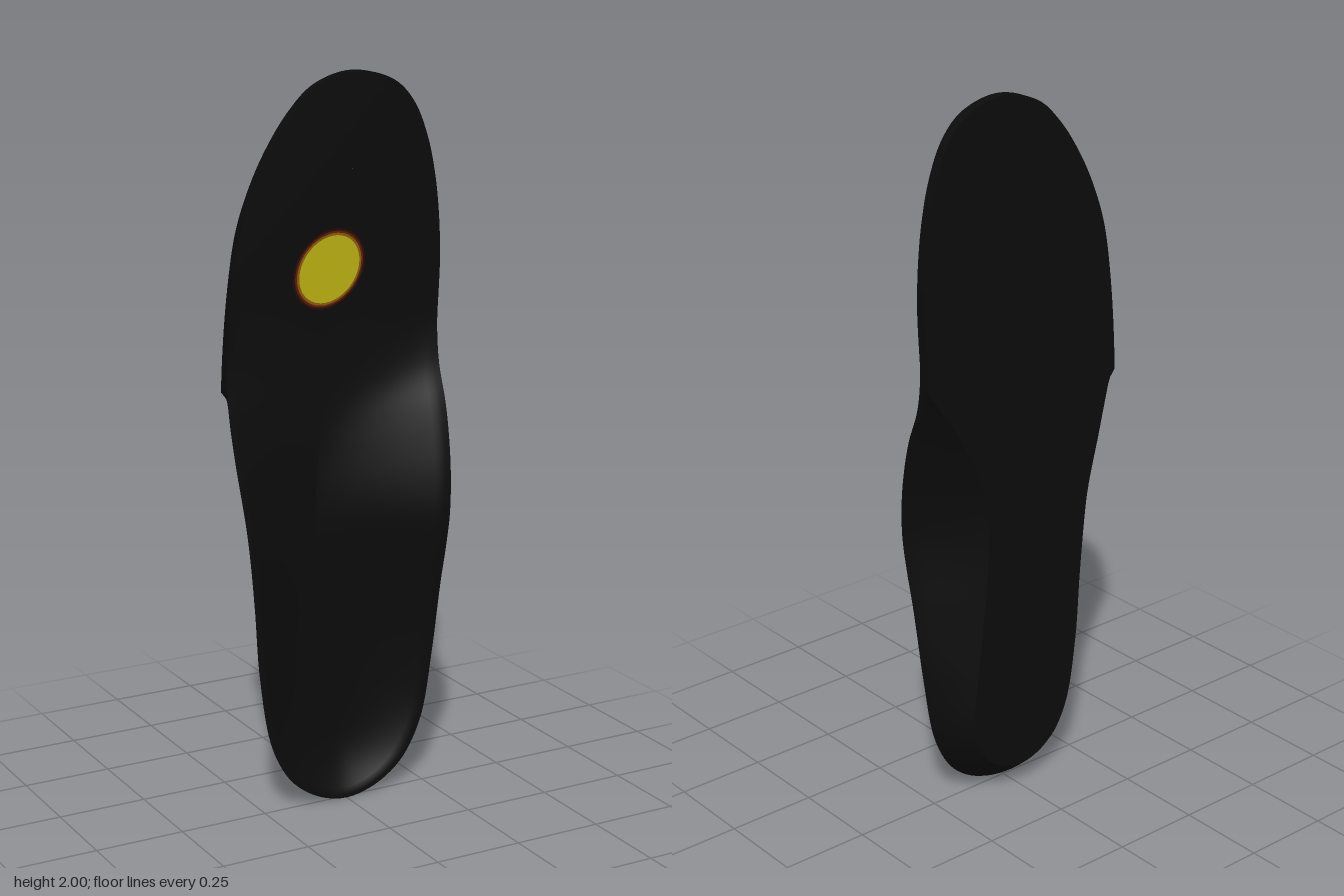
import * as THREE from 'three';

const BACK = -0.08;
const COUNT = 240;

// Smooth 1D interpolation through [position, value] pairs
function smooth(pairs) {
  const slope = pairs.map((p, i) => {
    const a = pairs[Math.max(i - 1, 0)], b = pairs[Math.min(i + 1, pairs.length - 1)];
    return (i === 0 || i === pairs.length - 1) ? 0 : (b[1] - a[1]) / (b[0] - a[0]);
  });
  return (y) => {
    if (y <= pairs[0][0]) return pairs[0][1];
    for (let i = 0; i < pairs.length - 1; i++) {
      const [y0, v0] = pairs[i], [y1, v1] = pairs[i + 1];
      if (y > y1) continue;
      const d = y1 - y0, t = (y - y0) / d, t2 = t * t, t3 = t2 * t;
      return (2 * t3 - 3 * t2 + 1) * v0 + (t3 - 2 * t2 + t) * d * slope[i]
        + (3 * t2 - 2 * t3) * v1 + (t3 - t2) * d * slope[i + 1];
    }
    return pairs[pairs.length - 1][1];
  };
}

// Outline of the sole, from the heel up the inner side and down the outer side
const OUTLINE = [
  [0, 0], [0.075, 0.015], [0.14, 0.05], [0.19, 0.1], [0.238, 0.2], [0.264, 0.38],
  [0.275, 0.6], [0.285, 0.8], [0.297, 1.0], [0.307, 1.2], [0.32, 1.4], [0.323, 1.5],
  [0.317, 1.62], [0.304, 1.72], [0.28, 1.82], [0.24, 1.91], [0.18, 1.97], [0.065, 2.0],
  [-0.05, 1.968], [-0.125, 1.9], [-0.195, 1.8], [-0.245, 1.7], [-0.28, 1.6], [-0.302, 1.48],
  [-0.321, 1.3], [-0.328, 1.13], [-0.319, 1.0], [-0.295, 0.8], [-0.28, 0.6], [-0.268, 0.4],
  [-0.235, 0.2], [-0.187, 0.1], [-0.14, 0.052], [-0.075, 0.015],
];

// Heights of the rim on both sides, of the footbed along its middle, and its line
const rimInner = smooth([[0, 0.012], [0.2, 0.012], [0.4, 0.024], [0.6, 0.05], [0.7, 0.067],
  [0.8, 0.078], [0.9, 0.071], [1.0, 0.051], [1.1, 0.021], [1.2, -0.023], [1.3, -0.046], [1.38, -0.05]]);
const rimOuter = smooth([[0, 0.012], [0.4, 0.012], [0.7, 0.006], [0.9, -0.008], [1.1, -0.03], [1.28, -0.05]]);
const bed = smooth([[0.2, -0.045], [0.5, -0.042], [0.8, -0.032], [1.0, -0.036], [1.2, -0.046], [1.35, -0.05]]);
const spineX = smooth([[0.2, 0], [0.5, -0.03], [0.8, -0.07], [1.1, -0.05], [1.5, 0], [1.75, 0.05]]);
// How far the base is drawn in under the rim
const insetInner = smooth([[0, 0.07], [0.2, 0.075], [0.5, 0.13], [0.85, 0.17], [1.05, 0.12], [1.23, 0.02], [1.26, 0]]);
const insetOuter = smooth([[0, 0.07], [0.8, 0.065], [1.0, 0.045], [1.15, 0.02], [1.18, 0]]);
const curveInner = smooth([[0.1, 2.5], [0.7, 1.25], [1.0, 1.25], [1.3, 2]]);
const curveOuter = smooth([[0.1, 2.5], [0.8, 2], [1.3, 2]]);

function makeStations() {
  const curve = new THREE.CatmullRomCurve3(
    OUTLINE.map(([x, y]) => new THREE.Vector3(x, y, 0)), true, 'centripetal');
  return Array.from({ length: COUNT }, (_, i) => {
    const p = curve.getPointAt(i / COUNT), tangent = curve.getTangentAt(i / COUNT);
    const inner = p.x > 0;
    const inset = Math.max(0, (inner ? insetInner : insetOuter)(p.y));
    const cy = THREE.MathUtils.lerp(0.22, 1.75, p.y / 2);
    return {
      p, inset, nx: -tangent.y, ny: tangent.x,
      cx: spineX(cy), cy, bed: bed(cy),
      rim: (inner ? rimInner : rimOuter)(p.y),
      power: (inner ? curveInner : curveOuter)(p.y),
    };
  });
}

// Joins closed rings of points into one smooth surface
function loft(name, rings, material) {
  const index = [];
  for (let r = 0; r < rings.length - 1; r++) {
    for (let i = 0; i < COUNT; i++) {
      const j = (i + 1) % COUNT;
      const a = r * COUNT + i, b = a + COUNT, c = (r + 1) * COUNT + j, d = r * COUNT + j;
      index.push(a, b, c, a, c, d);
    }
  }
  const geometry = new THREE.BufferGeometry();
  geometry.setAttribute('position', new THREE.Float32BufferAttribute(rings.flat(2), 3));
  geometry.setIndex(index);
  geometry.computeVertexNormals();
  const mesh = new THREE.Mesh(geometry, material);
  mesh.name = name;
  return mesh;
}

export function createModel() {
  const group = new THREE.Group();
  group.name = 'insole';
  const black = new THREE.MeshStandardMaterial({ color: 0x0b0b0b });
  const stations = makeStations();
  const lerp = THREE.MathUtils.lerp;

  // Cupped footbed with the raised arch
  const steps = 24;
  const bedRings = Array.from({ length: steps + 1 }, (_, k) => {
    const t = k / steps;
    return stations.map((s) => [lerp(s.cx, s.p.x, t), lerp(s.cy, s.p.y, t),
      lerp(s.bed, s.rim, Math.pow(Math.min(1, t / 0.93), s.power))]);
  });
  group.add(loft('footbed', bedRings, black));

  // Side wall, drawn in towards the base behind the forefoot
  const wallRings = Array.from({ length: 9 }, (_, k) => {
    const t = k / 8;
    return stations.map((s) => {
      const d = s.inset * Math.pow(t, 1.2);
      return [s.p.x + s.nx * d, s.p.y + s.ny * d, lerp(s.rim, BACK, t)];
    });
  });
  group.add(loft('sideWall', wallRings, black));

  // Flat underside
  const baseRings = [
    stations.map((s) => [s.p.x + s.nx * s.inset, s.p.y + s.ny * s.inset, BACK]),
    stations.map((s) => [s.cx, s.cy, BACK]),
  ];
  group.add(loft('underside', baseRings, black));

  // Coloured pressure spot with a darkening border
  const spot = new THREE.Group();
  spot.name = 'pressureSpot';
  [[1, 0x2a0a06], [0.95, 0x5a1c08], [0.9, 0x8a5a0c], [0.84, 0xbab012]].forEach(([size, color], i) => {
    const disc = new THREE.Mesh(new THREE.CircleGeometry(1, 48), new THREE.MeshStandardMaterial({ color }));
    disc.name = 'spotLayer' + (i + 1);
    disc.scale.set(0.118 * size, 0.095 * size, 1);
    disc.position.z = 0.0006 * (i + 1);
    spot.add(disc);
  });
  spot.position.set(-0.02, 1.483, -0.05);
  spot.rotation.z = 0.75;
  group.add(spot);

  return group;
}
